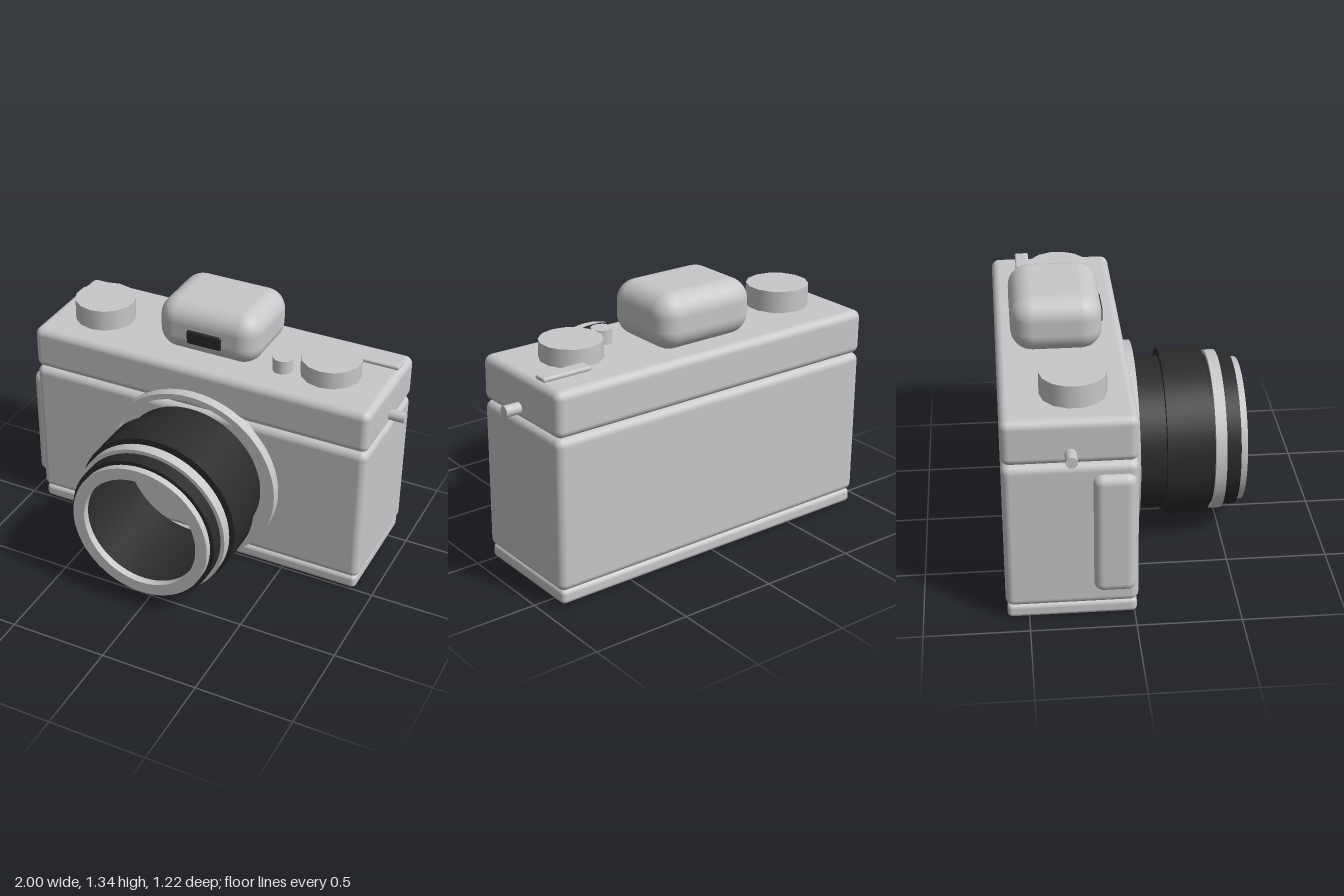
import * as THREE from 'three';
import { toCreasedNormals } from 'three/addons/utils/BufferGeometryUtils.js';
import { RoundedBoxGeometry } from 'three/addons/geometries/RoundedBoxGeometry.js';

export function createModel() {
  const model = new THREE.Group();
  model.name = 'camera';

  const silver = new THREE.MeshStandardMaterial({ color: 0xc8c8ca });
  silver.name = 'silver';
  const black = new THREE.MeshStandardMaterial({ color: 0x2a2a2a });
  black.name = 'black';

  function add(name, geometry, material, x = 0, y = 0, z = 0) {
    const mesh = new THREE.Mesh(geometry, material);
    mesh.name = name;
    mesh.position.set(x, y, z);
    model.add(mesh);
    return mesh;
  }

  // Rounded box given by its extents on each axis
  function block(name, [x0, x1], [y0, y1], [z0, z1], radius, material = silver) {
    const geometry = new RoundedBoxGeometry(x1 - x0, y1 - y0, z1 - z0, 5, radius);
    return add(name, geometry, material, (x0 + x1) / 2, (y0 + y1) / 2, (z0 + z1) / 2);
  }

  // Upright cylinder standing on the top plate
  function dial(name, x, z, radius, top, sides) {
    const base = 1.05;
    return add(name, new THREE.CylinderGeometry(radius, radius, top - base, sides), silver, x, (top + base) / 2, z);
  }

  // Hollow ring around the lens axis
  function ring(name, outer, inner, z0, z1, material) {
    const profile = [[outer, z0], [outer, z1], [inner, z1], [inner, z0], [outer, z0]]
      .map(([r, z]) => new THREE.Vector2(r, z));
    const geometry = toCreasedNormals(new THREE.LatheGeometry(profile, 64), 0.6);
    geometry.rotateX(Math.PI / 2);
    return add(name, geometry, material, 0, 0.475, 0);
  }

  // Body shells
  block('body', [-0.92, 0.92], [0.08, 0.845], [-0.61, 0.017], 0.04);
  block('topPlate', [-0.92, 0.92], [0.845, 1.072], [-0.61, 0.017], 0.04);
  block('bottomPlate', [-0.908, 0.908], [0.012, 0.086], [-0.603, 0.01], 0.024);
  block('handGrip', [-0.955, -0.8], [0.16, 0.79], [-0.195, 0.005], 0.045);

  // Viewfinder hump and its window
  block('viewfinder', [-0.276, 0.276], [1.068, 1.345], [-0.535, -0.095], 0.105);
  block('viewfinderWindow', [-0.094, 0.094], [1.147, 1.222], [-0.12, -0.084], 0.012, black);

  // Controls on the top plate
  dial('rewindDial', -0.65, -0.265, 0.157, 1.182, 14);
  dial('speedDial', 0.61, -0.265, 0.152, 1.162, 14);
  dial('shutterButton', 0.385, -0.19, 0.051, 1.144, 16);
  block('windLever', [0.645, 0.905], [1.08, 1.102], [-0.484, -0.413], 0.009);

  // Strap lugs on both ends
  for (const side of [-1, 1]) {
    const lug = add(side > 0 ? 'leftLug' : 'rightLug', new THREE.CylinderGeometry(0.028, 0.028, 0.12, 16), silver, side * 0.94, 0.904, -0.294);
    lug.rotation.z = Math.PI / 2;
  }

  // Lens, from the mount to the front rim
  ring('lensMount', 0.473, 0.443, 0.01, 0.07, silver);
  ring('lensBarrel', 0.387, 0.37, 0.045, 0.575, black);
  ring('focusRing', 0.424, 0.38, 0.207, 0.425, black);
  ring('apertureRing', 0.407, 0.38, 0.447, 0.502, silver);
  ring('frontRim', 0.366, 0.305, 0.572, 0.61, silver);
  ring('rimSeat', 0.375, 0.345, 0.56, 0.574, black);

  return model;
}
